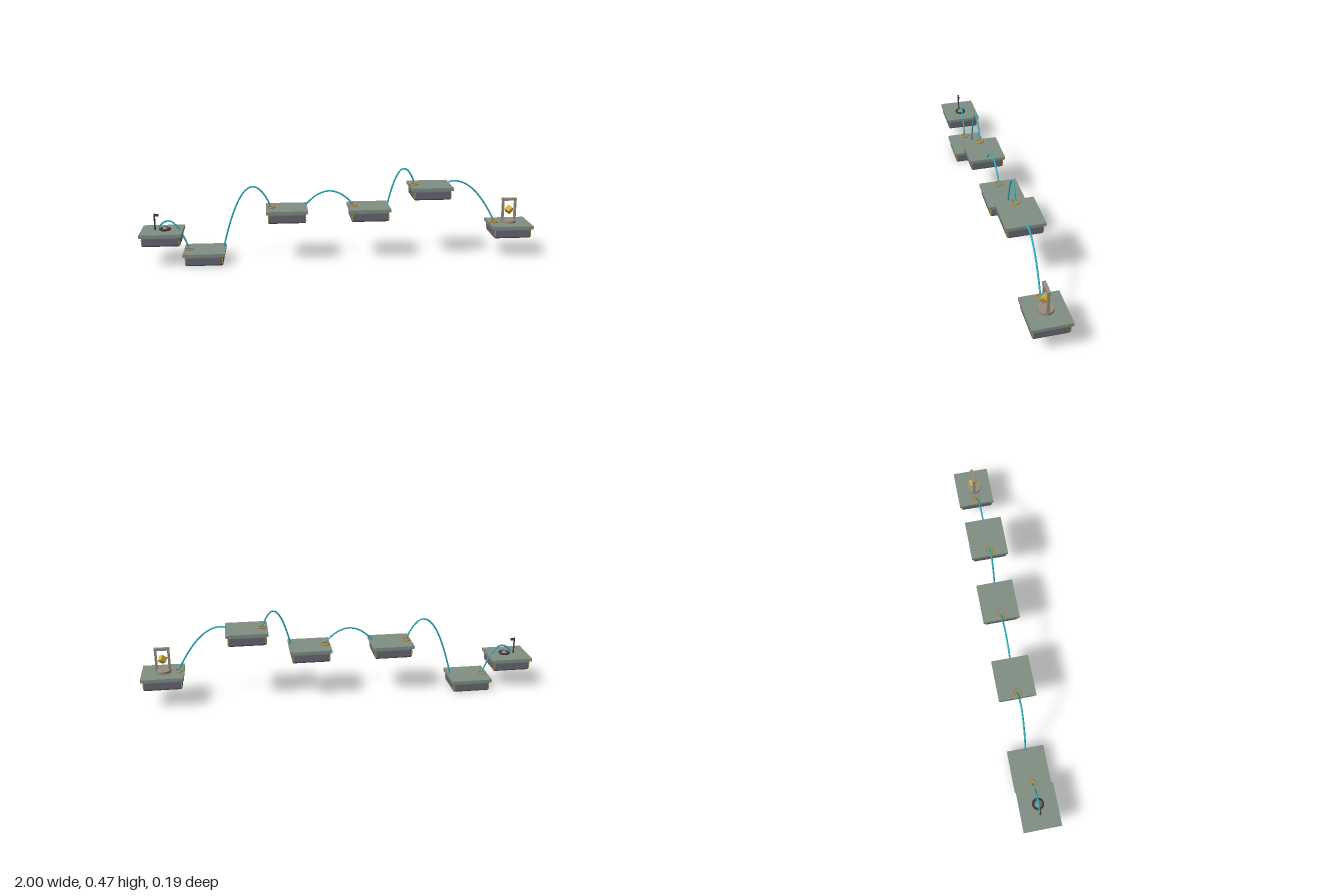
import * as THREE from 'three';
import { RoundedBoxGeometry } from 'three/addons/geometries/RoundedBoxGeometry.js';

const mat = (name, color) => new THREE.MeshStandardMaterial({ name, color });

export function createModel() {
  const slabGreen = mat('slabGreen', 0x7f8f84);
  const stone = mat('stone', 0x666771);
  const cyan = mat('cyan', 0x2fb4c4);
  const bronze = mat('bronze', 0xb58a3c);
  const gold = mat('gold', 0xcfb03c);
  const tan = mat('tan', 0x978c7e);
  const dark = mat('dark', 0x3f3d42);

  const model = new THREE.Group();
  model.name = 'platformCourse';
  const add = (parent, name, geometry, material, x = 0, y = 0, z = 0) => {
    const mesh = new THREE.Mesh(geometry, material);
    mesh.name = name;
    mesh.position.set(x, y, z);
    parent.add(mesh);
    return mesh;
  };

  // Platforms: [centre x, base y]
  const H = 0.065;
  const stops = [[-0.895, 0.106], [-0.685, 0], [-0.265, 0.211], [0.155, 0.211], [0.47, 0.317], [0.895, 0.106]];
  const bodyGeo = new RoundedBoxGeometry(0.192, 0.05, 0.172, 2, 0.01);
  const slabGeo = new THREE.BoxGeometry(0.21, 0.016, 0.188);
  const studGeo = new THREE.BoxGeometry(0.006, 0.028, 0.006);
  const ringGeo = new THREE.TorusGeometry(0.0188, 0.0036, 8, 28).rotateX(Math.PI / 2);

  stops.forEach(([x, y], i) => {
    const platform = new THREE.Group();
    platform.name = 'platform' + (i + 1);
    platform.position.set(x, y, 0);
    model.add(platform);
    add(platform, 'body', bodyGeo, stone, 0, 0.025, 0);
    add(platform, 'topSlab', slabGeo, slabGreen, 0, H - 0.008, 0);
    for (const sx of [-1, 1]) for (const sz of [-1, 1])
      add(platform, 'cornerStud', studGeo, bronze, sx * 0.0922, 0.026, sz * 0.0832);
    if (i > 0) add(platform, 'landingRing', ringGeo, bronze, -0.08, H + 0.0025, 0);
  });

  // Parabolic jump trails between neighbouring platforms
  const rises = [0.08, 0.19, 0.07, 0.12, 0.07];
  rises.forEach((rise, i) => {
    const [ax, ay] = stops[i], [bx, by] = stops[i + 1];
    const x0 = i === 0 ? -0.913 : ax + 0.097, x1 = bx - 0.082;
    const points = [];
    for (let k = 0; k <= 20; k++) {
      const t = k / 20;
      points.push(new THREE.Vector3(
        THREE.MathUtils.lerp(x0, x1, t),
        THREE.MathUtils.lerp(ay, by, t) + H + 0.011 + 4 * rise * t * (1 - t), 0));
    }
    const path = new THREE.CatmullRomCurve3(points);
    add(model, 'jumpTrail', new THREE.TubeGeometry(path, 40, 0.0042, 8), cyan);
  });

  // Start marker: ringed dome and a small signpost
  const start = new THREE.Group();
  start.name = 'startMarker';
  start.position.set(-0.88, 0.106 + H, 0);
  model.add(start);
  add(start, 'startRing', new THREE.TorusGeometry(0.024, 0.006, 8, 24).rotateX(Math.PI / 2), dark, 0, 0.004, 0);
  add(start, 'startDome', new THREE.SphereGeometry(0.015, 16, 8, 0, Math.PI * 2, 0, Math.PI / 2), tan);
  add(start, 'post', new THREE.CylinderGeometry(0.004, 0.004, 0.085, 8), dark, -0.05, 0.0425, 0);
  add(start, 'pennant', new THREE.BoxGeometry(0.02, 0.012, 0.005), dark, -0.04, 0.077, 0);

  // Goal: pedestal, square arch and floating block
  const goal = new THREE.Group();
  goal.name = 'goalArch';
  goal.position.set(0.892, 0.106 + H, 0);
  model.add(goal);
  add(goal, 'pedestal', new THREE.CylinderGeometry(0.039, 0.039, 0.013, 12), tan, 0, 0.0065, 0).material.flatShading = true;
  for (const s of [-1, 1])
    add(goal, 'archPost', new THREE.BoxGeometry(0.011, 0.105, 0.012), tan, s * 0.032, 0.0645, 0);
  add(goal, 'archBeam', new THREE.BoxGeometry(0.078, 0.013, 0.016), tan, 0, 0.1225, 0);
  const block = add(goal, 'goalBlock', new THREE.BoxGeometry(0.03, 0.03, 0.03), gold, 0, 0.068, 0);
  block.rotation.set(0.5, 0.65, 0.45);

  return model;
}
